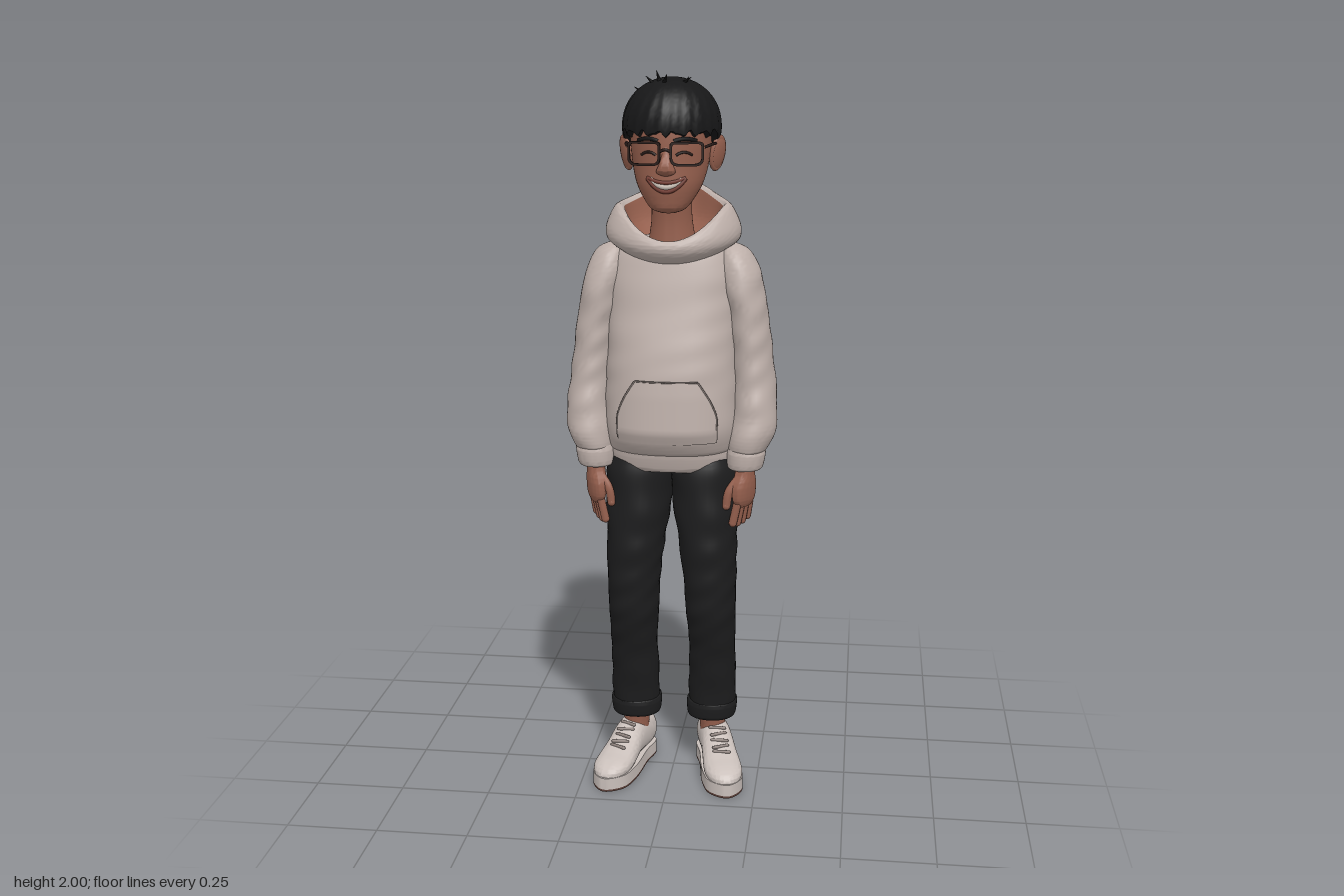
import * as THREE from 'three';
import { toCreasedNormals } from 'three/addons/utils/BufferGeometryUtils.js';

const V = (x, y, z) => new THREE.Vector3(x, y, z);
const mat = (name, color, side = THREE.FrontSide) => {
  const m = new THREE.MeshStandardMaterial({ color, side });
  m.name = name;
  return m;
};

// Grid surface: fn(u, angle), rows run upward on the outside
function surface(fn, rows, cols, { a0 = 0, a1 = Math.PI * 2, caps = false } = {}) {
  const closed = a1 - a0 > 6.28, n = closed ? cols : cols + 1;
  const pos = [], idx = [];
  for (let i = 0; i <= rows; i++)
    for (let j = 0; j < n; j++) pos.push(...fn(i / rows, a0 + (a1 - a0) * j / cols));
  for (let i = 0; i < rows; i++)
    for (let j = 0; j < cols; j++) {
      const k = closed ? (j + 1) % n : j + 1;
      const a = i * n + j, b = a + n, c = i * n + k, d = c + n;
      idx.push(a, b, c, b, d, c);
    }
  if (caps) for (const row of [0, rows]) {
    const mid = [0, 0, 0], centre = pos.length / 3;
    for (let j = 0; j < n; j++) for (let q = 0; q < 3; q++) mid[q] += pos[(row * n + j) * 3 + q] / n;
    pos.push(...mid);
    for (let j = 0; j < n; j++) {
      const p = row * n + j, r = row * n + (j + 1) % n;
      row ? idx.push(centre, r, p) : idx.push(centre, p, r);
    }
  }
  const g = new THREE.BufferGeometry();
  g.setAttribute('position', new THREE.Float32BufferAttribute(pos, 3));
  g.setIndex(idx);
  return toCreasedNormals(g, 1.0);
}

// Smooth blend along a list of cross-sections
function blend(list, u) {
  const f = u * (list.length - 1), i = Math.min(Math.floor(f), list.length - 2), t = f - i;
  const at = k => list[Math.max(0, Math.min(list.length - 1, k))];
  return list[i].map((p1, c) => {
    const p0 = at(i - 1)[c], p2 = at(i + 1)[c], p3 = at(i + 2)[c];
    return p1 + 0.5 * t * (p2 - p0 + t * (2 * p0 - 5 * p1 + 4 * p2 - p3 + t * (3 * (p1 - p2) + p3 - p0)));
  });
}
const pow = (v, e) => Math.sign(v) * Math.abs(v) ** e;
// Section: [y, centre x, centre z, half width, half depth]
const ringPoint = (list, n, wrinkle) => (u, a) => {
  const [y, cx, cz, rx, rz] = blend(list, u);
  const k = 1 + wrinkle * Math.sin(y * 62 + 2.2 * Math.sin(a + y * 9)) * Math.sin(a * 2 + y * 7);
  return [cx + rx * k * pow(Math.cos(a), 2 / n), y, cz + rz * k * pow(Math.sin(a), 2 / n)];
};
const loft = (list, n = 2, wrinkle = 0, rows = list.length * 6) =>
  surface(ringPoint(list, n, wrinkle), rows, 40, { caps: true });
// Front surface depth of a lofted part at x, y
function frontZ(list, n, x, y) {
  let i = 0;
  while (i < list.length - 2 && list[i + 1][0] < y) i++;
  const t = (y - list[i][0]) / (list[i + 1][0] - list[i][0]);
  const [, , cz, rx, rz] = list[i].map((v, c) => v + (list[i + 1][c] - v) * t);
  return cz + rz * Math.max(0, 1 - Math.abs(x / rx) ** n) ** (1 / n);
}
const tube = (pts, r) => new THREE.TubeGeometry(new THREE.CatmullRomCurve3(pts), 24, r, 8);

export function createModel() {
  const root = new THREE.Group();
  const cloth = mat('hoodie grey', 0xbdafa9), seam = mat('seam grey', 0x8c807b), black = mat('trouser black', 0x1d1d1e);
  const hairMat = mat('hair black', 0x171718, THREE.DoubleSide), skin = mat('skin', 0x96604e), lip = mat('lip', 0x70392f);
  const shoeMat = mat('shoe white', 0xc9bfba), brown = mat('outsole brown', 0x5a3f38), frame = mat('frame brown', 0x2a1d1a);
  const white = mat('teeth', 0xcfc4ba);
  const add = (name, geo, m, parent = root) => {
    const mesh = new THREE.Mesh(geo, m);
    mesh.name = name;
    parent.add(mesh);
    return mesh;
  };

  // Head, neck and nose
  const head = [[1.635, 0, .115, .02, .02], [1.645, 0, .113, .045, .042], [1.67, 0, .1, .066, .063], [1.71, 0, .08, .088, .09],
    [1.76, 0, .06, .101, .11], [1.82, 0, .05, .108, .122], [1.88, 0, .04, .11, .125], [1.94, 0, .04, .08, .09], [1.96, 0, .04, .03, .03]];
  add('head', loft(head), skin);
  add('neck', loft([[1.5, 0, .025, .075, .07], [1.6, 0, .035, .056, .058], [1.68, 0, .045, .055, .058], [1.74, 0, .045, .06, .06]]), skin);
  add('nose', loft([[1.734, 0, .163, .01, .008], [1.744, 0, .17, .025, .019], [1.765, 0, .169, .018, .022],
    [1.79, 0, .163, .011, .014], [1.815, 0, .16, .009, .011]]), skin);

  // Face details follow the face surface
  const faceTube = (name, r, m, off, cx, half, yOf) => {
    const pts = [];
    for (let k = -1; k <= 1.001; k += .25) {
      const x = cx + half * k, y = yOf(k);
      pts.push(V(x, y, frontZ(head, 2, x, y) + off));
    }
    add(name, tube(pts, r), m);
  };
  faceTube('teeth', .009, white, -.004, 0, .04, k => 1.706 + .019 * k * k);
  faceTube('upperLip', .005, lip, .001, 0, .05, k => 1.717 + .012 * k * k);
  faceTube('lowerLip', .006, lip, .001, 0, .05, k => 1.694 + .034 * k * k);
  for (const s of [1, -1]) {
    faceTube('closedEye', .0035, frame, .001, s * .046, .02, k => 1.787 + .008 * (1 - k * k));
    faceTube('eyebrow', .005, hairMat, .001, s * .048, .028, k => 1.823 + .006 * (1 - k * k));
    const ear = new THREE.Group();
    ear.name = 'ear';
    add('earBody', new THREE.SphereGeometry(1, 20, 14), skin, ear).scale.set(.011, .046, .027);
    add('earRim', new THREE.TorusGeometry(.03, .006, 8, 24), skin, ear).rotation.y = Math.PI / 2;
    ear.children[1].scale.set(.8, 1.35, 1);
    ear.position.set(s * .122, 1.785, .04);
    ear.rotation.set(-.1, s * -.6, s * -.2);
    root.add(ear);
  }

  // Hair: cap with a short fringe and a lower nape
  add('hair', surface((u, a) => {
    const s = Math.sin(a);
    const rim = 1.835 - .135 * THREE.MathUtils.smoothstep(-s, -.35, .5) + .006 * Math.sin(a * 19) + .004 * Math.sin(a * 31);
    const y = rim + (1.982 - rim) * Math.sin(u * Math.PI / 2);
    const q = (y - 1.85) / .132;
    let r = q > 0 ? Math.sqrt(Math.max(0, 1 - q ** 2.2)) : 1 - .62 * ((1.85 - y) / .15) ** 1.7;
    r *= 1 + .013 * Math.sin(a * 23 + u * 5) * (1 - u);
    if (u === 0) r *= .86;
    return [.131 * r * Math.cos(a), y, .035 + .145 * r * s];
  }, 28, 120), hairMat);
  [[-.03, 1.98, .08, .3, .25], [-.05, 1.97, .07, .2, .8], [-.01, 1.975, .1, .7, -.3], [.04, 1.97, .08, .4, -.9],
    [-.04, 1.96, -.03, -.8, .4], [.03, 1.965, 0, -.5, -.5], [-.08, 1.945, .06, .1, 1]].forEach(([x, y, z, rx, rz]) => {
    const t = add('hairTuft', new THREE.ConeGeometry(.009, .045, 6), hairMat);
    t.position.set(x, y, z);
    t.rotation.set(rx, 0, rz);
  });

  // Glasses
  const lensShape = (w, h, r, T) => {
    const p = new T();
    p.moveTo(-w + r, -h).lineTo(w - r, -h).quadraticCurveTo(w, -h, w, -h + r).lineTo(w, h - r / 2);
    p.quadraticCurveTo(w, h, w - r / 2, h).lineTo(-w + r / 2, h).quadraticCurveTo(-w, h, -w, h - r / 2);
    p.lineTo(-w, -h + r).quadraticCurveTo(-w, -h, -w + r, -h);
    return p;
  };
  const rimShape = lensShape(.044, .031, .022, THREE.Shape);
  rimShape.holes.push(lensShape(.038, .025, .018, THREE.Path));
  for (const s of [1, -1]) {
    const rim = add('glassesRim', new THREE.ExtrudeGeometry(rimShape, { depth: .006, bevelEnabled: false }), frame);
    rim.position.set(s * .055, 1.792, .176);
    rim.rotation.y = s * .18;
    add('glassesTemple', tube([V(s * .098, 1.808, .17), V(s * .114, 1.812, .1), V(s * .119, 1.81, .03)], .004), frame);
  }
  add('glassesBridge', tube([V(-.014, 1.798, .186), V(0, 1.803, .189), V(.014, 1.798, .186)], .004), frame);

  // Hoodie body, hem band and pocket
  const torso = [[.975, 0, .01, .165, .13], [.99, 0, .013, .178, .15], [1.05, 0, .015, .185, .174], [1.15, 0, .012, .185, .168],
    [1.25, 0, .01, .18, .155], [1.38, 0, 0, .18, .13], [1.46, 0, -.005, .178, .117], [1.52, 0, -.005, .16, .098],
    [1.55, 0, -.005, .12, .08], [1.56, 0, 0, .06, .05]];
  add('hoodieBody', loft(torso, 2.4, .007, 70), cloth);
  const hem = [[.93, 0, .01, .167, .126], [.94, 0, .01, .172, .132], [.975, 0, .012, .175, .14], [.995, 0, .013, .17, .14]];
  add('hem', loft(hem, 2.4), cloth);
  const patch = hem.slice(0, 3).map(([y, x, z, rx, rz]) => [y, x, z, rx + .002, rz + .002]);
  for (const a0 of [-.6, Math.PI + .08])
    add('hemSidePatch', surface(ringPoint(patch, 2.4, 0), 8, 10, { a0, a1: a0 + .52 }), skin);
  const onChest = (x, y, off) => V(x, y, frontZ(torso, 2.4, x, y) + off);
  const pocketHalf = y => (y < 1.09 ? .135 : .135 - .05 * ((y - 1.09) / .1) ** 1.4);
  add('pocket', surface((u, k) => {
    const y = 1.02 + .17 * u;
    return onChest(-k * pocketHalf(y), y, .008).toArray();
  }, 16, 20, { a0: -1, a1: 1 }), cloth);
  const line = (name, pts) => add(name, tube(pts, .0025), seam);
  line('pocketTopSeam', [-1, -.5, 0, .5, 1].map(k => onChest(k * .085, 1.19, .007)));
  for (const s of [1, -1])
    line('pocketSideSeam', [1.03, 1.06, 1.09, 1.13, 1.16, 1.19].map(y => onChest(s * pocketHalf(y), y, .007)));

  // Hood row: [half width, front z, back z, front y, side y, back y], outside to inside
  const hoodRows = [[.12, .08, -.1, 1.49, 1.51, 1.46], [.15, .11, -.165, 1.5, 1.53, 1.445], [.18, .135, -.2, 1.52, 1.555, 1.51],
    [.183, .143, -.202, 1.54, 1.59, 1.61], [.162, .138, -.183, 1.555, 1.637, 1.68], [.145, .13, -.166, 1.56, 1.65, 1.695],
    [.133, .12, -.152, 1.55, 1.64, 1.685], [.118, .11, -.125, 1.53, 1.59, 1.6], [.08, .1, -.05, 1.52, 1.54, 1.54]];
  const hoodPart = rows => surface((u, a) => {
    const [rx, zf, zb, yf, ys, yb] = blend(rows, u), s = Math.sin(a);
    const tip = s < 0 ? 1 - .1 * Math.sin(2 * a) ** 2 : 1;
    return [rx * tip * Math.cos(a), ys + ((s > 0 ? yf : yb) - ys) * s * s, s > 0 ? zf * s : -zb * s * tip];
  }, 36, 64);
  add('hood', hoodPart(hoodRows.slice(0, 7)), cloth);
  add('hoodLining', hoodPart(hoodRows.slice(6)), skin);

  // Sole outline, heel to toe
  const half = [[.042, -.03], [.046, .05], [.056, .16], [.046, .235]];
  const outline = [[0, -.052], ...half, [0, .272], ...half.map(([x, z]) => [-x, z]).reverse()];
  const sole = new THREE.Shape(new THREE.CatmullRomCurve3(outline.map(([x, z]) => V(x, z, 0)), true).getPoints(60).slice(0, -1));
  const slab = (top, depth) =>
    toCreasedNormals(new THREE.ExtrudeGeometry(sole, { depth, bevelEnabled: false }).rotateX(Math.PI / 2).translate(0, top, 0), .7);

  for (const s of [1, -1]) {
    const side = list => list.map(([y, x, ...rest]) => [y, x * s, ...rest]);
    // Sleeve and cuff
    add('sleeve', loft(side([[.98, .21, .07, .046, .056], [.995, .214, .068, .055, .066], [1.04, .225, .058, .063, .076],
      [1.1, .23, .04, .061, .082], [1.2, .223, .015, .058, .088], [1.32, .21, .01, .056, .088], [1.42, .192, .008, .058, .088],
      [1.48, .178, .005, .056, .08], [1.525, .165, 0, .042, .055], [1.545, .15, 0, .015, .02]]), 2, .03, 80), cloth);
    add('sleeveCuff', loft(side([[.935, .206, .075, .045, .05], [.945, .207, .075, .05, .056],
      [.98, .21, .072, .053, .061], [.995, .21, .07, .048, .056]])), cloth);

    // Hand
    const hand = new THREE.Group();
    hand.name = 'hand';
    hand.position.set(s * .207, .95, .082);
    hand.rotation.y = -s * .5;
    add('palm', loft([[-.12, 0, .004, .013, .03], [-.1, 0, .004, .021, .046], [-.06, 0, .004, .025, .047],
      [-.025, 0, 0, .024, .034], [.02, 0, 0, .024, .03]]), skin, hand);
    [-.033, -.011, .011, .033].forEach((z, i) => {
      const f = add('finger', new THREE.CapsuleGeometry(.0115, [.045, .06, .064, .056][i], 4, 10), skin, hand);
      f.position.set(-s * .007, -.138, z + .004);
      f.rotation.set(-z * 2, 0, -s * .2);
    });
    add('thumb', tube([V(-s * .005, -.04, .025), V(-s * .02, -.075, .048), V(-s * .026, -.115, .052)], .012), skin, hand);
    add('thumbTip', new THREE.SphereGeometry(.012, 10, 8), skin, hand).position.set(-s * .026, -.115, .052);
    root.add(hand);

    // Trouser leg, turned-up cuff and ankle
    add('trouserLeg', loft(side([[.175, .11, -.02, .062, .064], [.22, .112, -.018, .068, .07], [.3, .112, -.008, .067, .075],
      [.4, .113, .007, .066, .085], [.5, .11, .026, .07, .1], [.6, .108, .035, .074, .105], [.72, .101, .035, .082, .111],
      [.82, .094, .022, .091, .12], [.92, .09, .015, .094, .12], [.97, .085, .012, .085, .11]]), 2.2, .022, 80), black);
    add('trouserCuff', loft(side([[.162, .11, -.02, .062, .062], [.168, .11, -.02, .07, .069],
      [.205, .111, -.02, .073, .073], [.214, .111, -.02, .066, .068]]), 2.2), black);
    add('ankle', loft(side([[.08, .115, -.025, .037, .042], [.13, .112, -.025, .037, .042], [.19, .11, -.02, .042, .046]])), skin);

    // Shoe
    const shoe = new THREE.Group();
    shoe.name = 'shoe';
    shoe.position.set(s * .11, 0, -.06);
    shoe.rotation.y = s * .25;
    add('shoeUpper', loft([[-.046, 0, -.06, .022, .025], [-.036, 0, -.077, .041, .05], [0, 0, -.08, .045, .056], [.05, 0, -.084, .046, .056],
      [.09, 0, -.08, .047, .05], [.13, 0, -.066, .05, .041], [.18, 0, -.055, .054, .031], [.22, 0, -.05, .05, .026],
      [.25, 0, -.045, .034, .018], [.265, 0, -.04, .012, .008]], 2.3).rotateX(Math.PI / 2), shoeMat, shoe);
    add('midsole', slab(.04, .034), shoeMat, shoe);
    add('outsole', slab(.006, .006), brown, shoe);
    [[.085, .131], [.105, .121], [.125, .11], [.145, .1], [.163, .092]].forEach(([z, y], i) => {
      const lace = add('lace', new THREE.CapsuleGeometry(.005, .042, 3, 8).rotateZ(Math.PI / 2), seam, shoe);
      lace.position.set(0, y, z);
      lace.rotation.y = i % 2 ? .25 : -.25;
    });
    root.add(shoe);
  }
  return root;
}
